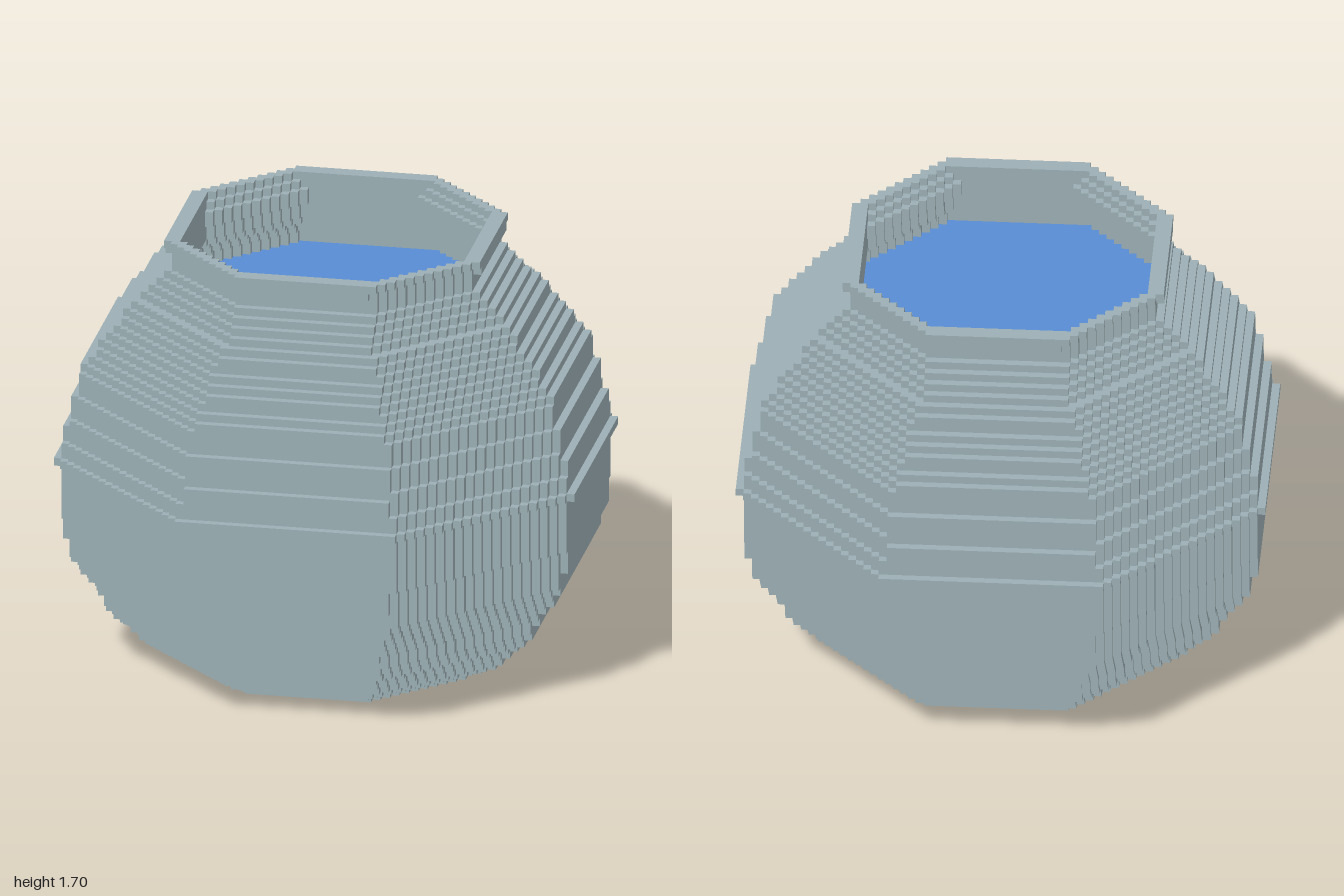
import * as THREE from 'three';

const V = 2 / 66; // voxel size

// Octagon on the voxel grid with stair-stepped diagonals:
// r = half width, s = x + y along the diagonal edge (both in voxels)
function steppedOctagon(r, s) {
  const h = s - r; // half length of the flat side
  const quarter = [];
  for (let i = 0; i <= r - h; i++) {
    quarter.push([r - i, h + i]);
    if (i < r - h) quarter.push([r - i - 1, h + i]);
  }
  const points = [];
  for (let q = 0; q < 4; q++) {
    for (const [x, y] of quarter) {
      const p = [[x, y], [-y, x], [-x, -y], [y, -x]][q];
      points.push(new THREE.Vector2(p[0] * V, p[1] * V));
    }
  }
  return points;
}

// Horizontal slab of a shape between two heights
function slab(name, points, hole, y0, y1, material) {
  const shape = new THREE.Shape(points);
  if (hole) shape.holes.push(new THREE.Path(hole));
  const geometry = new THREE.ExtrudeGeometry(shape, { depth: y1 - y0, bevelEnabled: false });
  geometry.rotateX(-Math.PI / 2);
  geometry.translate(0, y0, 0);
  const mesh = new THREE.Mesh(geometry, material);
  mesh.name = name;
  return mesh;
}

export function createModel() {
  const model = new THREE.Group();
  model.name = 'pot';
  const stone = new THREE.MeshStandardMaterial({ color: 0x9cafb4 });
  stone.name = 'stone grey';
  const blue = new THREE.MeshStandardMaterial({ color: 0x588cd4 });
  blue.name = 'water blue';

  // Solid belly: [layer count, half width, diagonal], from the ground up
  const belly = [
    [1, 18, 26], [1, 20, 28], [1, 22, 31], [1, 23, 33], [1, 24, 34], [1, 25, 35], [1, 26, 37],
    [1, 27, 38], [1, 27, 39], [1, 28, 39], [1, 28, 40], [1, 29, 41], [1, 30, 42], [1, 30, 43],
    [1, 31, 44], [2, 31, 45], [3, 32, 45], [7, 32, 46], [1, 33, 47], [2, 32, 46], [2, 32, 45],
    [1, 31, 45], [3, 31, 44], [3, 30, 43], [1, 30, 42], [1, 29, 41], [1, 28, 40], [1, 28, 39],
    [1, 27, 38], [1, 26, 37],
  ];
  // Hollow part: [name, layer count, half width, diagonal, opening half width, opening diagonal]
  const top = [
    ['shoulder', 1, 25, 36, 22, 31], ['shoulder', 1, 25, 35, 22, 31], ['shoulder', 1, 24, 34, 21, 30],
    ['shoulder', 1, 23, 32, 20, 29], ['shoulder', 1, 22, 31, 19, 27], ['shoulder', 1, 21, 30, 18, 26],
    ['shoulder', 1, 20, 29, 18, 26], ['neck', 2, 19, 28, 18, 25], ['rim', 1, 20, 28, 18, 26],
    ['rim', 1, 20, 29, 18, 27],
  ];

  let layer = 0;
  for (const [n, r, s] of belly) {
    model.add(slab('belly', steppedOctagon(r, s), null, layer * V, (layer + n) * V, stone));
    layer += n;
  }

  // Water surface, a smooth-sided octagon plate reaching the inner wall
  const a = 22 * V, b = a * Math.tan(Math.PI / 8);
  const octagon = [[a, b], [b, a], [-b, a], [-a, b], [-a, -b], [-b, -a], [b, -a], [a, -b]]
    .map(([x, y]) => new THREE.Vector2(x, y));
  model.add(slab('water', octagon, null, layer * V, layer * V + 0.009, blue));

  for (const [name, n, r, s, openR, openS] of top) {
    model.add(slab(name, steppedOctagon(r, s), steppedOctagon(openR, openS), layer * V, (layer + n) * V, stone));
    layer += n;
  }

  return model;
}
